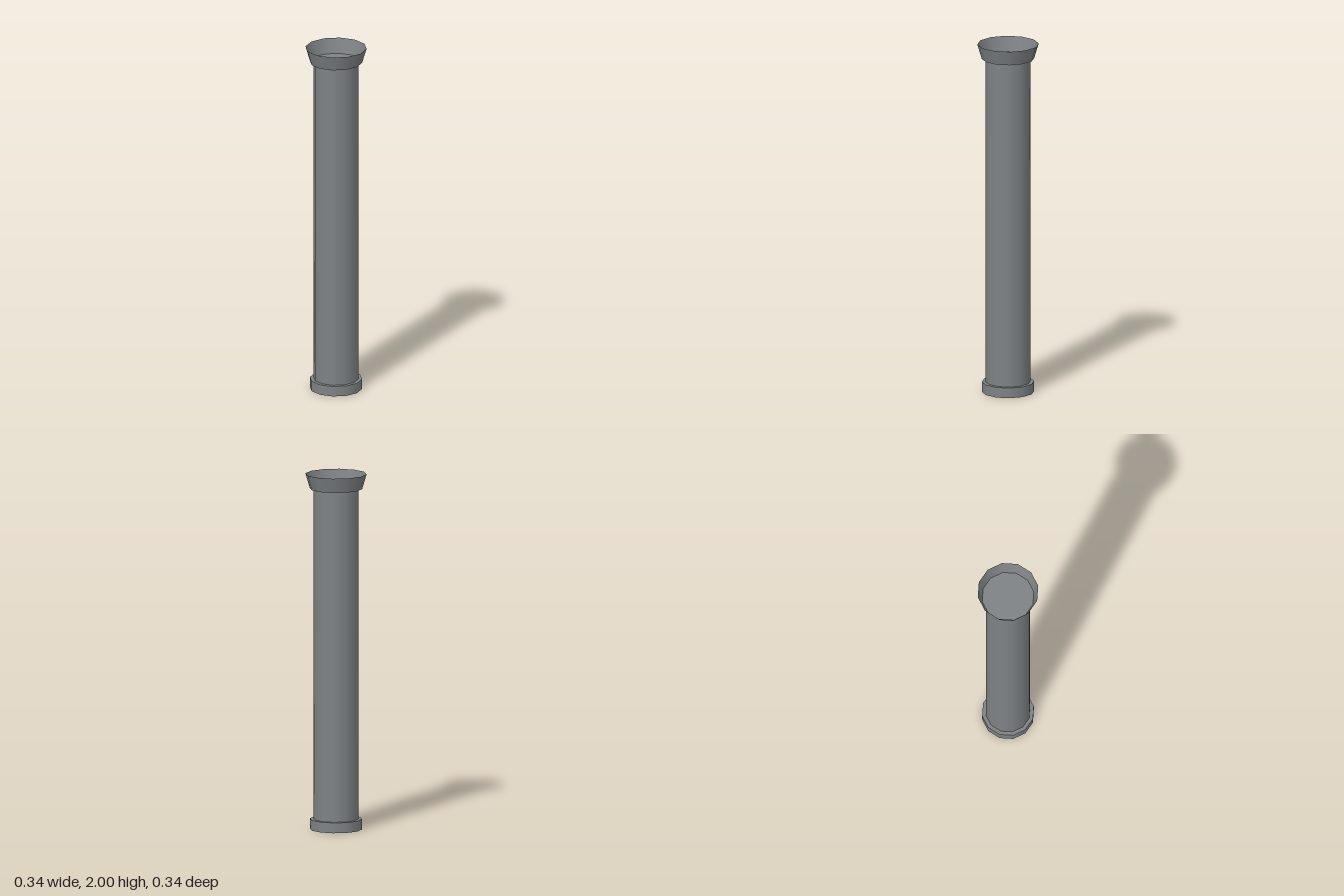
import * as THREE from 'three';

const SIDES = 12;
const material = new THREE.MeshStandardMaterial({ color: 0x7f8385, side: THREE.DoubleSide });

// Open-ended twelve-sided tube with smooth sides, from height y0 to y1
function tube(name, bottomRadius, topRadius, y0, y1) {
  const geometry = new THREE.CylinderGeometry(topRadius, bottomRadius, y1 - y0, SIDES, 1, true);
  geometry.translate(0, (y0 + y1) / 2, 0);
  const mesh = new THREE.Mesh(geometry, material);
  mesh.name = name;
  return mesh;
}

// Flat twelve-sided plate at height y
function plate(name, radius, y) {
  const geometry = new THREE.CircleGeometry(radius, SIDES);
  geometry.rotateX(-Math.PI / 2);
  geometry.translate(0, y, 0);
  const mesh = new THREE.Mesh(geometry, material);
  mesh.name = name;
  return mesh;
}

export function createModel() {
  const column = new THREE.Group();
  column.name = 'column';

  // Base: a shallow cup, open underneath
  const base = new THREE.Group();
  base.name = 'base';
  base.add(tube('baseWall', 0.146, 0.146, 0, 0.058), plate('baseTop', 0.146, 0.058));

  // Shaft between the two plates
  const shaft = tube('shaft', 0.125, 0.125, 0.058, 1.916);

  // Capital: a flared cup, open on top
  const capital = new THREE.Group();
  capital.name = 'capital';
  capital.add(tube('capitalWall', 0.146, 0.171, 1.916, 2), plate('capitalFloor', 0.146, 1.916));

  column.add(base, shaft, capital);
  return column;
}
